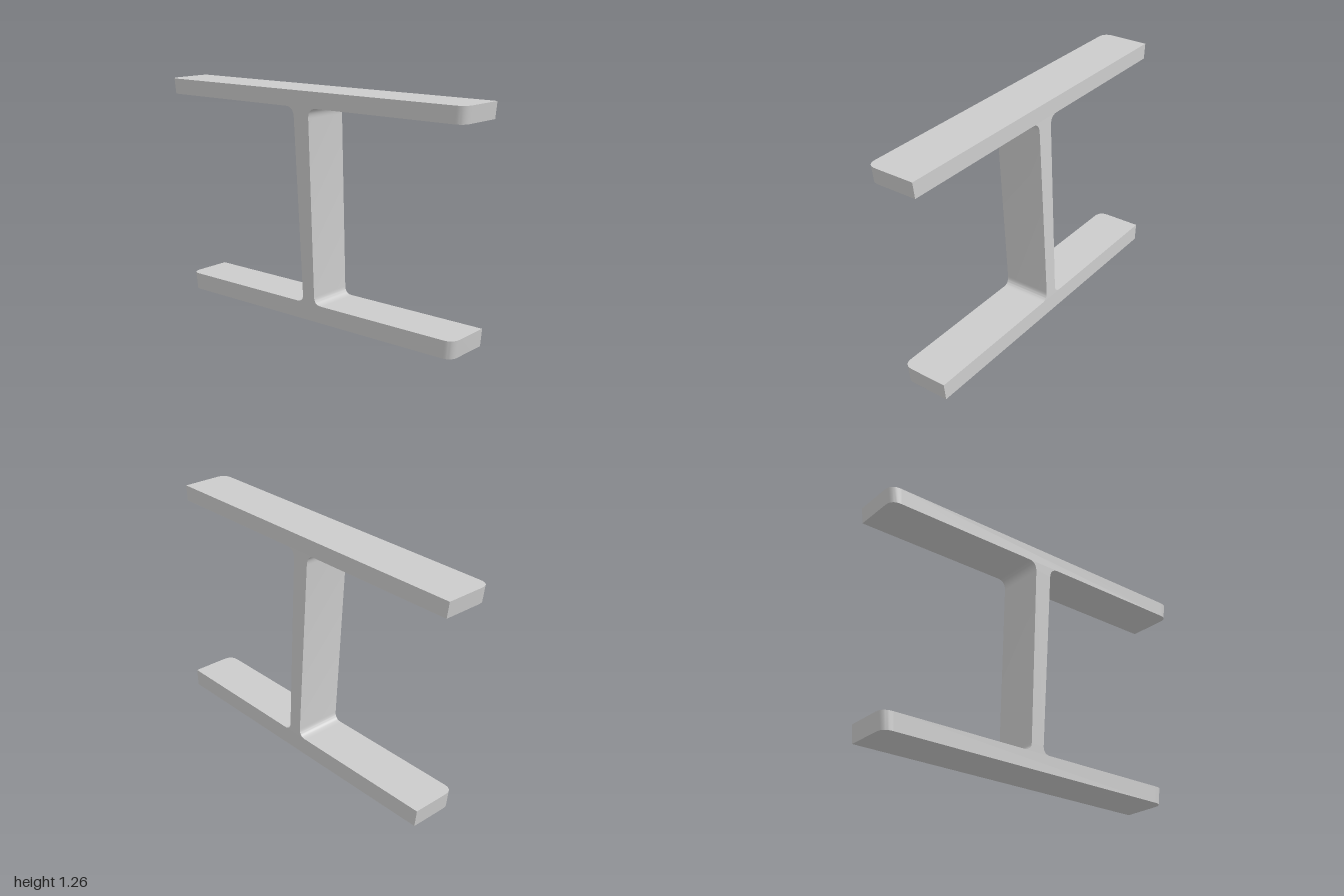
import * as THREE from 'three';
import { toCreasedNormals } from 'three/addons/utils/BufferGeometryUtils.js';

const material = new THREE.MeshStandardMaterial({ color: 0xcccccc });
const lerp = THREE.MathUtils.lerp;

function addMesh(group, name, geometry) {
  const mesh = new THREE.Mesh(toCreasedNormals(geometry, 0.6), material);
  mesh.name = name;
  group.add(mesh);
}

// Bar with square back corners and rounded front corners, narrowing towards its underside
function bar({ half, halfLow, y0, y1, back, front, lean }) {
  const r = 0.06;
  const s = new THREE.Shape();
  s.moveTo(-half, -back);
  s.lineTo(-half, -front + r);
  s.quadraticCurveTo(-half, -front, -half + r, -front);
  s.lineTo(half - r, -front);
  s.quadraticCurveTo(half, -front, half, -front + r);
  s.lineTo(half, -back);
  s.closePath();
  const g = new THREE.ExtrudeGeometry(s, { depth: y1 - y0, bevelEnabled: false, curveSegments: 10 });
  g.rotateX(-Math.PI / 2);
  const p = g.attributes.position;
  for (let i = 0; i < p.count; i++) {
    const t = p.getY(i) / (y1 - y0);
    p.setXYZ(i, p.getX(i) * lerp(halfLow / half, 1, t), y0 + p.getY(i), p.getZ(i) - lean * (1 - t));
  }
  return g;
}

// Upright web with fillets at both ends, sheared so that it leans forward
function upright(y0, y1) {
  const s = new THREE.Shape();
  s.moveTo(-0.085, y0);
  s.lineTo(0.085, y0);
  s.quadraticCurveTo(0.04, y0, 0.04, y0 + 0.045);
  s.lineTo(0.05, y1 - 0.055);
  s.quadraticCurveTo(0.052, y1, 0.105, y1);
  s.lineTo(-0.105, y1);
  s.quadraticCurveTo(-0.052, y1, -0.05, y1 - 0.055);
  s.lineTo(-0.04, y0 + 0.045);
  s.quadraticCurveTo(-0.04, y0, -0.085, y0);
  const g = new THREE.ExtrudeGeometry(s, { depth: 1, bevelEnabled: false, curveSegments: 10 });
  const p = g.attributes.position;
  for (let i = 0; i < p.count; i++) {
    const t = (p.getY(i) - y0) / (y1 - y0);
    p.setZ(i, lerp(lerp(-0.163, -0.11, t), lerp(0.104, 0.165, t), p.getZ(i)));
  }
  return g;
}

export function createModel() {
  const group = new THREE.Group();
  group.name = 'beam';
  addMesh(group, 'topBar', bar({ half: 1, halfLow: 0.99, y0: 1.173, y1: 1.26, back: -0.108, front: 0.167, lean: 0.002 }));
  addMesh(group, 'bottomBar', bar({ half: 0.93, halfLow: 0.92, y0: 0, y1: 0.096, back: -0.163, front: 0.104, lean: 0.002 }));
  addMesh(group, 'upright', upright(0.096, 1.173));
  return group;
}
